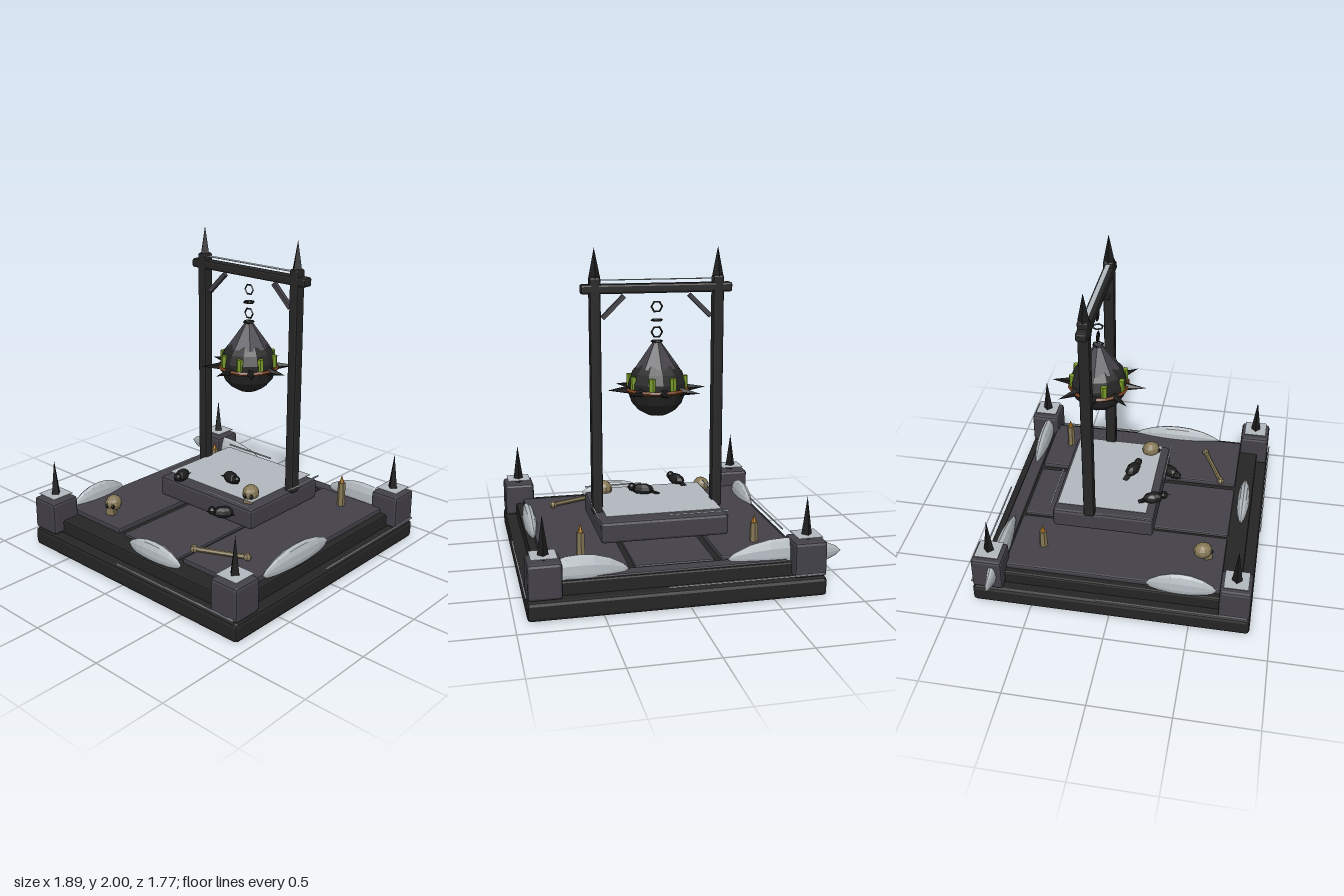
import * as THREE from 'three';
import { RoundedBoxGeometry } from 'three/addons/geometries/RoundedBoxGeometry.js';

const mat = (name, color) => {
  const m = new THREE.MeshStandardMaterial({ color });
  m.name = name;
  return m;
};

export function createModel() {
  const darkStone = mat('dark stone', 0x252525);
  const stone = mat('stone', 0x434148);
  const iron = mat('black iron', 0x1c1c1d);
  const wood = mat('dark wood', 0x262627);
  const snow = mat('snow', 0xb2b9be);
  const bone = mat('bone', 0x857755);
  const rust = mat('rust', 0x74401e);
  const green = mat('green glass', 0x789a28);
  const flame = mat('flame', 0xc4831f);

  const root = new THREE.Group();
  const CX = 0.055, PZ = -0.215, Q = Math.PI / 2;

  // Faceted mesh added to a parent
  const add = (name, geo, material, x = 0, y = 0, z = 0, parent = root) => {
    const g = geo.index ? geo.toNonIndexed() : geo;
    g.computeVertexNormals();
    const m = new THREE.Mesh(g, material);
    m.name = name;
    m.position.set(x, y, z);
    parent.add(m);
    return m;
  };
  // Chamfered block from its extents
  const block = (name, material, x0, x1, y0, y1, z0, z1, c = 0.012) =>
    add(name, new RoundedBoxGeometry(x1 - x0, y1 - y0, z1 - z0, 1, c), material,
      (x0 + x1) / 2, (y0 + y1) / 2, (z0 + z1) / 2);
  const plate = (name, material, x0, x1, y, z0, z1, t = 0.004) =>
    add(name, new THREE.BoxGeometry(x1 - x0, t, z1 - z0), material, (x0 + x1) / 2, y, (z0 + z1) / 2);
  const group = (name, x, y, z, ry = 0, parent = root) => {
    const g = new THREE.Group();
    g.name = name;
    g.position.set(x, y, z);
    g.rotation.y = ry;
    parent.add(g);
    return g;
  };

  // Stepped base and floor slabs
  block('base', darkStone, -0.82, 0.93, 0, 0.115, -0.875, 0.875, 0.022);
  block('baseStep', darkStone, -0.745, 0.855, 0.105, 0.2, -0.80, 0.80);
  for (let i = 0; i < 3; i++) {
    const x = -0.70 + i * 0.515;
    block('floorSlab', stone, x, x + 0.475, 0.18, i === 1 ? 0.215 : 0.23, -0.69, 0.675, 0.01);
  }
  block('backSlab', stone, -0.6, 0.71, 0.18, 0.212, -0.79, -0.705, 0.008);

  // Corner pillars with snow caps and spikes
  for (const sx of [-1, 1]) for (const sz of [-1, 1]) {
    const x = CX + sx * 0.773, z = sz * 0.773;
    block('cornerPillar', stone, x - 0.098, x + 0.098, 0.12, 0.332, z - 0.098, z + 0.098, 0.018);
    plate('pillarSnow', snow, x - 0.075, x + 0.075, 0.354, z - 0.075, z + 0.075);
    add('cornerSpike', new THREE.ConeGeometry(0.036, 0.255, 4), iron, x, 0.457, z);
  }

  // Raised platform and its snow sheet
  block('platform', stone, -0.34, 0.447, 0.27, 0.402, -0.458, 0.2, 0.018);
  plate('platformSnow', snow, -0.30, 0.41, 0.43, -0.43, 0.15);

  // Snow strips running round the base and the platform
  const strips = (cz, hx, hz, y, from, to) => {
    for (let i = 0; i < 4; i++) {
      const along = i % 2 ? hz : hx, out = i % 2 ? hx : hz;
      const g = group('snowStrip', CX, y, cz, i * Q);
      add('snowStripEdge', new THREE.BoxGeometry(along * (to - from), 0.008, 0.008), snow,
        along * (from + to) / 2, 0, out, g);
    }
  };
  strips(0, 0.88, 0.88, 0.142, -0.09, 0.97);
  strips(-0.13, 0.405, 0.34, 0.43, 0.03, 0.95);

  // Gallows frame
  for (const s of [-1, 1]) {
    const x = CX + s * 0.375;
    block('post', wood, x - 0.033, x + 0.033, 0.39, 1.83, PZ - 0.035, PZ + 0.035, 0.013);
    add('postSpike', new THREE.ConeGeometry(0.036, 0.18, 4), iron, x, 1.91, PZ);
    const brace = add('brace', new THREE.BoxGeometry(0.185, 0.027, 0.027), stone, CX + s * 0.265, 1.65, PZ);
    brace.rotation.z = -s * 0.78;
  }
  block('crossBeam', wood, -0.405, 0.515, 1.73, 1.787, PZ - 0.035, PZ + 0.035, 0.013);
  plate('beamSnow', snow, -0.31, 0.44, 1.81, PZ - 0.015, PZ + 0.015);

  // Chain with alternating links
  [1.647, 1.567, 1.495, 1.44].forEach((y, i) => {
    const link = add('chainLink', new THREE.TorusGeometry(0.033, 0.006, 4, 6), iron, CX, y, PZ);
    if (i % 2) link.rotation.x = Q;
  });

  // Hanging spiked ball
  const ball = group('spikedBall', CX, 1.165, PZ);
  add('ballBody', new THREE.SphereGeometry(0.18, 12, 9), wood, 0, -0.002, 0, ball);
  add('ballCone', new THREE.CylinderGeometry(0.024, 0.135, 0.155, 8), stone, 0, 0.195, 0, ball);
  add('rustBand', new THREE.TorusGeometry(0.183, 0.014, 5, 16), rust, 0, -0.015, 0, ball).rotation.x = Q;
  for (let i = 0; i < 8; i++) {
    const arm = group('ballArm', 0, 0, 0, i * Math.PI / 4, ball);
    add('ballSpike', new THREE.ConeGeometry(0.027, 0.135, 5), iron, 0.235, -0.015, 0, arm).rotation.z = -Q;
    const side = group('vialArm', 0, 0, 0, (i + 0.5) * Math.PI / 4, ball);
    add('greenVial', new THREE.CylinderGeometry(0.021, 0.021, 0.075, 6), green, 0.168, 0.035, 0, side);
  }

  // Snow drifts: tapered mounds along one axis
  const half = [[0, 1], [0.3, 0.9], [0.7, 0.62], [0.95, 0.28]];
  const profile = [...half.map(([r, y]) => [r, -y]), [1, 0], ...half.slice().reverse()]
    .map(p => new THREE.Vector2(...p));
  const drift = (x, z, length, width, alongZ) => {
    const g = new THREE.LatheGeometry(profile, 12);
    g.scale(width / 2, length / 2, 0.042).rotateZ(Q);
    if (alongZ) g.rotateY(Q);
    add('snowDrift', g, snow, x, 0.225, z);
  };
  drift(-0.60, -0.74, 0.70, 0.21, false);
  drift(0.62, -0.75, 0.56, 0.21, false);
  drift(0.165, 0.745, 0.44, 0.16, false);
  drift(0.808, 0.208, 0.61, 0.18, true);
  drift(-0.70, 0.433, 0.44, 0.20, true);

  // Skulls
  const skull = (x, y, z, ry) => {
    const g = group('skull', x, y, z, ry);
    add('cranium', new THREE.SphereGeometry(0.055, 10, 8).scale(0.95, 0.95, 1.1), bone, 0, 0, 0, g);
    add('jaw', new THREE.BoxGeometry(0.055, 0.045, 0.05), bone, 0, -0.04, 0.033, g);
    for (const s of [-1, 1])
      add('eyeSocket', new THREE.SphereGeometry(0.014, 6, 5), iron, s * 0.02, -0.004, 0.05, g);
  };
  skull(-0.433, 0.295, 0.535, 0.4);
  skull(0.34, 0.452, 0.08, 0.4);

  // Crows
  const crow = (x, y, z, ry) => {
    const g = group('crow', x, y, z, ry);
    add('crowBody', new THREE.SphereGeometry(0.042, 8, 6).scale(1, 0.9, 1.7), iron, 0, 0, 0, g);
    add('crowHead', new THREE.SphereGeometry(0.027, 7, 5), iron, 0, 0.012, 0.07, g);
    add('crowBeak', new THREE.ConeGeometry(0.009, 0.03, 4), iron, 0, 0.01, 0.1, g).rotation.x = Q;
    add('crowTail', new THREE.BoxGeometry(0.035, 0.008, 0.07), iron, 0, -0.018, -0.08, g).rotation.x = -0.3;
  };
  crow(-0.165, 0.452, 0.175, 0.35);
  crow(0.10, 0.455, -0.005, 1.2);
  crow(0.25, 0.345, 0.235, -0.8);

  // Candles
  for (const [x, z, h] of [[-0.49, -0.485, 0.12], [0.584, -0.545, 0.16]]) {
    add('candle', new THREE.CylinderGeometry(0.024, 0.027, h, 6), bone, x, 0.23 + h / 2, z);
    add('candleFlame', new THREE.ConeGeometry(0.016, 0.05, 5), flame, x, 0.255 + h, z);
  }

  // Loose bone on the floor
  const limb = group('looseBone', 0.475, 0.25, 0.505, 0.425);
  add('boneShaft', new THREE.CylinderGeometry(0.015, 0.015, 0.33, 6), bone, 0, 0, 0, limb).rotation.z = Q;
  for (const s of [-1, 1])
    add('boneEnd', new THREE.SphereGeometry(0.025, 7, 5), bone, s * 0.165, 0, 0, limb);

  return root;
}
